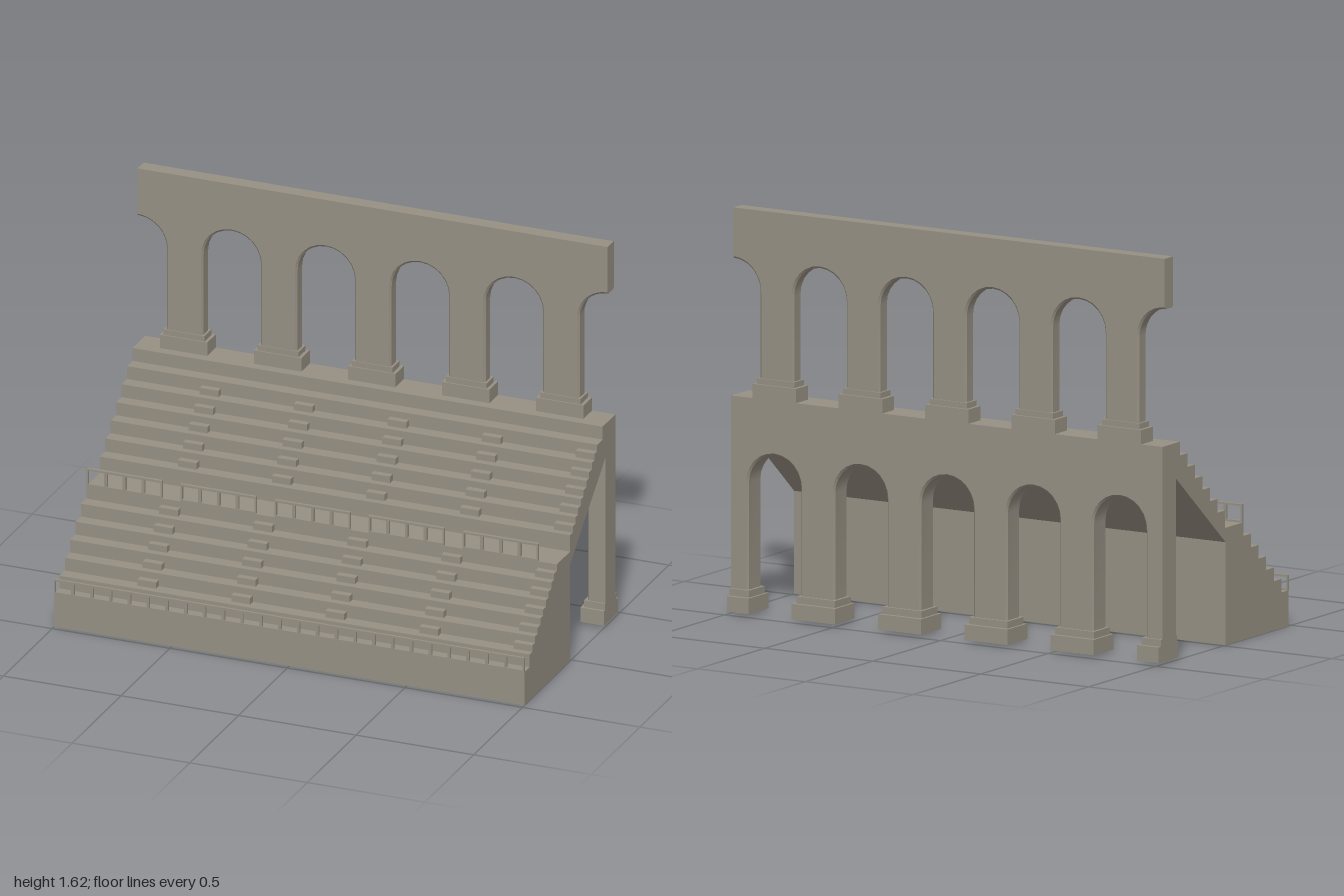
import * as THREE from 'three';
import { toCreasedNormals } from 'three/addons/utils/BufferGeometryUtils.js';

const stone = new THREE.MeshStandardMaterial({ color: 0x968f82 });
const AISLES = [-0.64, -0.24, 0.16, 0.56, 0.96];
const LOWER = { z: 0.427, y: 0.143, rise: 0.0545, run: 0.0558, rows: 6 };
const UPPER = { z: 0.012, y: 0.485, rise: 0.055, run: 0.0557, rows: 7 };

function add(parent, geometry, name) {
  const mesh = new THREE.Mesh(geometry, stone);
  mesh.name = name;
  parent.add(mesh);
  return mesh;
}

// Box given by its limits on each axis
function box(parent, name, x0, x1, y0, y1, z0, z1) {
  const mesh = add(parent, new THREE.BoxGeometry(x1 - x0, y1 - y0, z1 - z0), name);
  mesh.position.set((x0 + x1) / 2, (y0 + y1) / 2, (z0 + z1) / 2);
}

// Stepped points of one flight, from its foot upward
function flightPoints({ z, y, rise, run, rows }) {
  const pts = [];
  for (let k = 0; k < rows; k++) {
    const front = z - k * run;
    pts.push([front, k === 0 && rows === 7 ? 0.47 : y + k * rise], [front, y + (k + 1) * rise]);
  }
  return pts;
}

// Seating: one side profile swept across the full width
function seating() {
  const pts = [
    [0.015, 0], [0.48, 0], [0.48, LOWER.y],
    ...flightPoints(LOWER), ...flightPoints(UPPER),
    [-0.4, 0.87], [-0.4, 0.725], [-0.35, 0.725], [0.015, 0.412],
  ];
  const shape = new THREE.Shape(pts.map(([z, y]) => new THREE.Vector2(z, y)));
  const geo = new THREE.ExtrudeGeometry(shape, { depth: 2, bevelEnabled: false });
  return geo.rotateY(-Math.PI / 2).translate(1, 0, 0);
}

// Half-height steps against the risers in each aisle
function aisleSteps(parent, { z, y, rise, run }, name) {
  for (const x of AISLES) {
    for (let k = 1; k <= 5; k++) {
      const front = z - k * run, foot = y + k * rise;
      box(parent, name, x - 0.04, x + 0.04, foot, foot + rise / 2, front, front + run / 2);
    }
  }
}

// Open railing with equal panels
function railing(parent, name, x0, panels, y0, y1, z0, z1) {
  const pitch = 0.08, bar = 0.006;
  const rect = (C, a, b, c, d) => new C([[a, c], [b, c], [b, d], [a, d]].map(p => new THREE.Vector2(...p)));
  const shape = rect(THREE.Shape, x0, x0 + panels * pitch, y0, y1);
  for (let i = 0; i < panels; i++) {
    const a = x0 + i * pitch;
    shape.holes.push(rect(THREE.Path, a + bar, a + pitch - bar, y0 + 0.008, y1 - 0.008));
  }
  const geo = new THREE.ExtrudeGeometry(shape, { depth: z1 - z0, bevelEnabled: false });
  add(parent, geo.translate(0, 0, z0), name);
}

// Arcade wall: openings cut from below, chamfered only around the arches
function arcadeWall(centres, y0, y1, apex, z0, z1) {
  const r = 0.122, bevel = 0.008, spring = apex - r;
  const shape = new THREE.Shape();
  const endOpen = centres[0] <= -1;
  if (endOpen) shape.moveTo(-1, apex);
  else shape.moveTo(-1, y0);
  for (const c of centres) {
    const from = c <= -1 ? Math.PI / 2 : Math.PI;
    const to = c >= 1 ? Math.PI / 2 : 0;
    if (c > -1) shape.lineTo(c - r, y0);
    for (let i = c > -1 ? 0 : 1; i <= 12; i++) {
      const a = from + (to - from) * i / 12;
      shape.lineTo(c + r * Math.cos(a), spring + r * Math.sin(a));
    }
    if (c < 1) shape.lineTo(c + r, y0);
  }
  if (!endOpen) shape.lineTo(1, y0);
  shape.lineTo(1, y1);
  shape.lineTo(-1, y1);
  const geo = new THREE.ExtrudeGeometry(shape, {
    depth: z1 - z0 - 2 * bevel, bevelThickness: bevel, bevelSize: bevel,
    bevelOffset: -bevel, bevelSegments: 1,
  }).translate(0, 0, z0 + bevel);
  // Square up the outer ends, top and feet
  const p = geo.attributes.position;
  for (let i = 0; i < p.count; i++) {
    const x = p.getX(i), y = p.getY(i);
    if (Math.abs(x) > 1 - bevel * 1.2) p.setX(i, Math.sign(x));
    if (y > y1 - bevel * 1.2) p.setY(i, y1);
    if (y < y0 + bevel * 1.2) p.setY(i, y0);
  }
  geo.computeVertexNormals();
  return toCreasedNormals(geo, 0.5);
}

// Two-tier pillar base, cut off at the ends of the building
function pillarBase(parent, name, x, tiers) {
  for (const [half, y0, y1, z0, z1] of tiers) {
    box(parent, name, Math.max(-1, x - half), Math.min(1, x + half), y0, y1, z0, z1);
  }
}

export function createModel() {
  const model = new THREE.Group();
  model.name = 'grandstand';

  add(model, seating(), 'seating');
  const steps = new THREE.Group();
  steps.name = 'aisleSteps';
  aisleSteps(steps, LOWER, 'lowerAisleStep');
  aisleSteps(steps, UPPER, 'upperAisleStep');
  model.add(steps);

  // Railings: unbroken in front, open at the aisles on the walkway
  railing(model, 'frontRailing', -1, 25, LOWER.y, 0.205, 0.474, 0.484);
  for (let i = 0; i < 5; i++) {
    railing(model, 'walkwayRailing', -1 + i * 0.4, 4, 0.47, 0.544, 0.135, 0.148);
  }

  // Lower arcade carrying the back of the seating
  add(model, arcadeWall([-0.8, -0.4, 0, 0.4, 0.8], 0.05, 0.87, 0.65, -0.452, -0.352), 'lowerArcade');
  for (const x of [-1, -0.6, -0.2, 0.2, 0.6, 1]) {
    pillarBase(model, 'lowerPillarBase', x, [
      [0.1, 0.01, 0.072, -0.482, -0.335],
      [0.09, 0.072, 0.1, -0.464, -0.346],
    ]);
  }

  // Upper arcade standing on the top deck
  add(model, arcadeWall([-1, -0.6, -0.2, 0.2, 0.6, 1], 0.87, 1.62, 1.417, -0.436, -0.374), 'upperArcade');
  for (const x of [-0.8, -0.4, 0, 0.4, 0.8]) {
    pillarBase(model, 'upperPillarBase', x, [
      [0.101, 0.87, 0.927, -0.452, -0.364],
      [0.087, 0.927, 0.95, -0.442, -0.37],
    ]);
  }
  return model;
}
